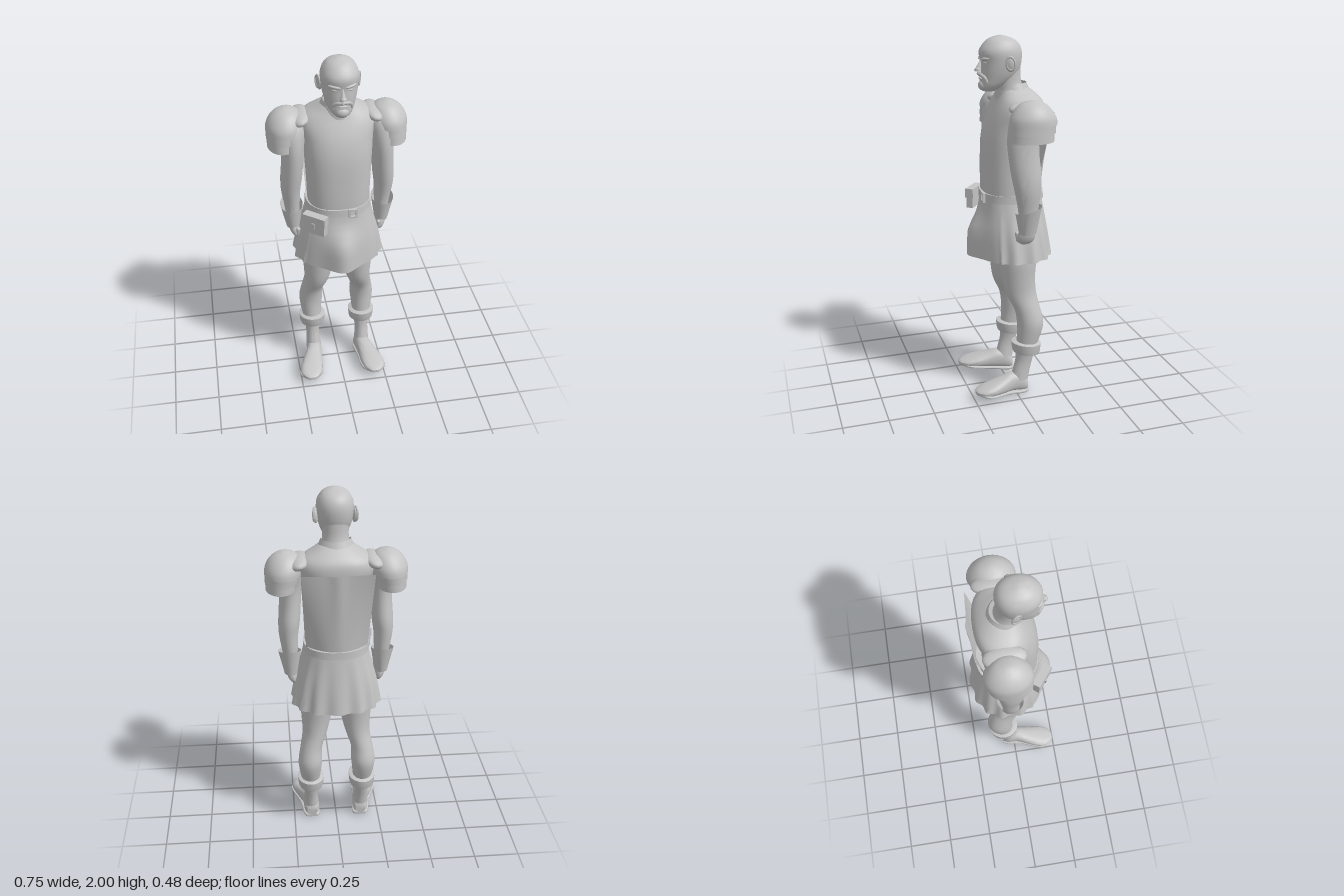
import * as THREE from 'three';
import { toCreasedNormals } from 'three/addons/utils/BufferGeometryUtils.js';

const grey = new THREE.MeshStandardMaterial({ color: 0xc4c4c4, side: THREE.DoubleSide });
grey.name = 'plain grey';

function add(parent, name, geo, pos = [0, 0, 0], rot = [0, 0, 0], scale = [1, 1, 1]) {
  const m = new THREE.Mesh(geo, grey);
  m.name = name;
  m.position.set(...pos);
  m.rotation.set(...rot);
  m.scale.set(...scale);
  parent.add(m);
  return m;
}

// Smooth the section list with Catmull-Rom steps
function smooth(s, steps) {
  const out = [];
  for (let i = 0; i < s.length - 1; i++) {
    const a = s[Math.max(i - 1, 0)], b = s[i], c = s[i + 1], d = s[Math.min(i + 2, s.length - 1)];
    for (let k = 0; k < steps; k++) {
      const t = k / steps;
      out.push(b.map((v, j) => v + 0.5 * t * (c[j] - a[j] +
        t * (2 * a[j] - 5 * v + 4 * c[j] - d[j] + t * (3 * (v - c[j]) + d[j] - a[j])))));
    }
  }
  out.push(s[s.length - 1]);
  return out;
}

// Skin over rounded cross-sections, each [y, centre x, half width, front z, back z]
function loft(sections, { n = 28, p = 2, steps = 3, caps = true, mod = null, crease = 0.8 } = {}) {
  const rows = steps > 1 ? smooth(sections, steps) : sections;
  const pos = [], idx = [], v = new THREE.Vector3();
  const pw = c => Math.sign(c) * Math.abs(c) ** (2 / p);
  for (const [y, cx, rx, zf, zb] of rows) {
    for (let j = 0; j < n; j++) {
      const a = (j / n) * Math.PI * 2;
      v.set(cx + rx * pw(Math.sin(a)), y, (zf + zb) / 2 + (zf - zb) / 2 * pw(Math.cos(a)));
      if (mod) mod(v, a);
      pos.push(v.x, v.y, v.z);
    }
  }
  for (let i = 0; i < rows.length - 1; i++) for (let j = 0; j < n; j++) {
    const a = i * n + j, b = i * n + (j + 1) % n;
    idx.push(a, b, b + n, a, b + n, a + n);
  }
  if (caps) for (const [row, up] of [[0, false], [rows.length - 1, true]]) {
    const [y, cx, , zf, zb] = rows[row], c = pos.length / 3;
    v.set(cx, y, (zf + zb) / 2);
    if (mod) mod(v, 0);
    pos.push(v.x, v.y, v.z);
    for (let j = 0; j < n; j++) {
      const a = row * n + j, b = row * n + (j + 1) % n;
      idx.push(c, up ? a : b, up ? b : a);
    }
  }
  const g = new THREE.BufferGeometry();
  g.setAttribute('position', new THREE.Float32BufferAttribute(pos, 3));
  g.setIndex(idx);
  return toCreasedNormals(g, crease);
}

const ball = () => new THREE.SphereGeometry(1, 18, 12);

function makeHead() {
  const h = new THREE.Group();
  h.name = 'head';
  add(h, 'skull', loft([
    [1.715, 0, 0.03, 0.138, 0.07], [1.74, 0, 0.056, 0.152, 0.03], [1.78, 0, 0.075, 0.15, -0.03],
    [1.82, 0, 0.087, 0.15, -0.06], [1.87, 0, 0.095, 0.148, -0.072], [1.92, 0, 0.096, 0.154, -0.072],
    [1.96, 0, 0.08, 0.13, -0.055], [1.985, 0, 0.054, 0.1, -0.02], [2.0, 0, 0.012, 0.055, 0.03]], { p: 2.15 }));
  add(h, 'neck', loft([[1.66, 0, 0.1, 0.06, -0.11], [1.72, 0, 0.075, 0.06, -0.085],
    [1.77, 0, 0.068, 0.065, -0.07], [1.84, 0, 0.07, 0.06, -0.066]]));
  // Face
  add(h, 'nose', new THREE.ConeGeometry(0.026, 0.07, 8), [0, 1.85, 0.152], [-0.2, 0, 0], [0.7, 1, 1]);
  add(h, 'noseTip', ball(), [0, 1.828, 0.164], [0, 0, 0], [0.016, 0.012, 0.016]);
  add(h, 'chinBeard', ball(), [0, 1.745, 0.135], [0, 0, 0], [0.035, 0.028, 0.026]);
  add(h, 'lowerLip', ball(), [0, 1.782, 0.148], [0, 0, 0], [0.022, 0.006, 0.011]);
  for (const s of [1, -1]) {
    const moustache = new THREE.CatmullRomCurve3([[0, 1.806, 0.16], [0.025, 1.803, 0.152],
      [0.045, 1.785, 0.134], [0.048, 1.765, 0.126]].map(q => new THREE.Vector3(q[0] * s, q[1], q[2])));
    add(h, 'moustache', new THREE.TubeGeometry(moustache, 10, 0.009, 7));
    add(h, 'brow', ball(), [s * 0.04, 1.885, 0.135], [0, s * 0.4, s * 0.12], [0.033, 0.009, 0.014]);
    add(h, 'eye', ball(), [s * 0.038, 1.865, 0.132], [0, s * 0.4, 0], [0.018, 0.008, 0.01]);
    add(h, 'ear', ball(), [s * 0.098, 1.86, 0.018], [0.15, -s * 0.35, 0], [0.011, 0.04, 0.025]);
    add(h, 'earRim', new THREE.TorusGeometry(0.026, 0.006, 6, 16), [s * 0.105, 1.865, 0.016],
      [0.15, Math.PI / 2 - s * 0.35, 0], [0.85, 1.3, 1]);
  }
  return h;
}

function makeTorso() {
  const t = new THREE.Group();
  t.name = 'torso';
  add(t, 'breastplate', loft([
    [1.1, 0, 0.165, 0.14, -0.15], [1.18, 0, 0.168, 0.145, -0.15], [1.3, 0, 0.172, 0.145, -0.14],
    [1.45, 0, 0.18, 0.14, -0.16], [1.55, 0, 0.188, 0.12, -0.18], [1.62, 0, 0.2, 0.092, -0.185],
    [1.665, 0, 0.18, 0.07, -0.175], [1.7, 0, 0.125, 0.055, -0.145], [1.73, 0, 0.08, 0.045, -0.105]], { p: 2.4, n: 36 }));
  add(t, 'collar', loft([[1.7, 0, 0.1, 0.07, -0.125], [1.755, 0, 0.078, 0.068, -0.1]], { steps: 1, caps: false,
    mod: v => { v.y -= Math.max(0, v.z + 0.02) * 0.5; } }));
  // Curved back plate: flat at the shoulders, wrapped round at the waist
  const plate = new THREE.PlaneGeometry(2, 1, 20, 8), p = plate.attributes.position;
  for (let i = 0; i < p.count; i++) {
    const u = p.getX(i), k = p.getY(i) + 0.5;
    const ridge = 0.012 * Math.exp(-u * u * 30);
    p.setXYZ(i, u * (0.165 + 0.024 * k), 1.165 + 0.45 * k,
      -0.18 - 0.027 * k - ridge * k + u * u * (0.085 - 0.075 * k));
  }
  plate.computeVertexNormals();
  add(t, 'backPlate', plate);
  // Belt with buckle
  add(t, 'belt', loft([[1.13, 0, 0.18, 0.156, -0.19], [1.172, 0, 0.178, 0.154, -0.188]], { steps: 1, p: 2.3, n: 36 }));
  for (const y of [-1, 1]) add(t, 'buckleBar', new THREE.BoxGeometry(0.044, 0.01, 0.014), [0.055, 1.15 + y * 0.022, 0.157]);
  for (const x of [-1, 1]) add(t, 'buckleBar', new THREE.BoxGeometry(0.01, 0.05, 0.014), [0.055 + x * 0.018, 1.15, 0.157]);
  // Pleated skirt with a fuller front panel
  add(t, 'skirt', loft([[0.81, 0, 0.246, 0.172, -0.226], [0.95, 0, 0.222, 0.168, -0.208],
    [1.07, 0, 0.19, 0.157, -0.19], [1.15, 0, 0.172, 0.148, -0.178]], { n: 112, p: 2.3, caps: false,
    mod: (v, a) => {
      const k = (1.15 - v.y) / 0.34, back = Math.cos(a) < 0.6 ? 1 : 0;
      const r = 1 + 0.035 * k * back * Math.cos(a * 14);
      v.x *= r;
      v.z *= r;
      if (v.z > 0) v.z += 0.062 * THREE.MathUtils.smoothstep(k, 0.15, 0.65) * Math.exp(-((v.x / 0.085) ** 2));
    } }));
  // Belt pouch
  const pouch = new THREE.Group();
  pouch.name = 'pouch';
  pouch.position.set(-0.147, 1.1, 0.152);
  pouch.rotation.y = -0.68;
  add(pouch, 'pouchBag', new THREE.BoxGeometry(0.126, 0.105, 0.038));
  add(pouch, 'pouchFlap', new THREE.BoxGeometry(0.136, 0.05, 0.046), [0, 0.032, 0]);
  add(pouch, 'pouchClasp', new THREE.BoxGeometry(0.014, 0.035, 0.008), [0, 0, 0.025]);
  t.add(pouch);
  return t;
}

function makeArm() {
  const a = new THREE.Group();
  a.name = 'arm';
  add(a, 'armBody', loft([[1.0, 0.248, 0.03, 0.01, -0.075], [1.12, 0.25, 0.042, 0.02, -0.09],
    [1.22, 0.255, 0.052, 0.04, -0.1], [1.3, 0.25, 0.058, 0.056, -0.105], [1.4, 0.243, 0.058, 0.07, -0.095],
    [1.5, 0.238, 0.06, 0.076, -0.095], [1.6, 0.235, 0.07, 0.06, -0.12], [1.66, 0.225, 0.045, 0.02, -0.1]]));
  add(a, 'cuff', loft([[0.985, 0.248, 0.036, 0.014, -0.08], [1.122, 0.253, 0.062, 0.035, -0.108]], { steps: 1, caps: false,
    mod: v => { if (v.y > 1.1) v.y -= (v.z + 0.035) * 0.25; } }));
  add(a, 'hand', loft([[0.925, 0.232, 0.012, 0.0, -0.05], [0.945, 0.236, 0.024, 0.02, -0.072],
    [0.98, 0.243, 0.029, 0.02, -0.076], [1.02, 0.248, 0.027, 0.005, -0.065]]));
  add(a, 'thumb', new THREE.CapsuleGeometry(0.012, 0.04, 4, 8), [0.225, 0.965, 0.015], [0.2, 0, 0]);
  // Shoulder guard: dome over two overlapping bands
  const g = new THREE.Group();
  g.name = 'shoulderGuard';
  add(g, 'dome', loft([[1.58, 0.276, 0.097, 0.076, -0.176], [1.615, 0.272, 0.097, 0.07, -0.17],
    [1.655, 0.266, 0.083, 0.045, -0.145], [1.685, 0.262, 0.054, 0.01, -0.11], [1.7, 0.265, 0.012, -0.035, -0.065]]));
  add(g, 'upperBand', loft([[1.535, 0.285, 0.087, 0.074, -0.165], [1.59, 0.28, 0.09, 0.07, -0.168]], { steps: 1, caps: false }));
  add(g, 'lowerBand', loft([[1.492, 0.29, 0.079, 0.073, -0.155], [1.55, 0.287, 0.081, 0.068, -0.155]], { steps: 1, caps: false }));
  add(g, 'shoulderStrap', ball(), [0.195, 1.645, -0.055], [0, 0, -0.25], [0.06, 0.035, 0.11]);
  a.add(g);
  return a;
}

function makeLeg() {
  const l = new THREE.Group();
  l.name = 'leg';
  add(l, 'legBody', loft([[0.08, 0.148, 0.045, 0.03, -0.075], [0.14, 0.15, 0.04, 0.015, -0.085],
    [0.2, 0.15, 0.04, 0.0, -0.1], [0.28, 0.15, 0.052, -0.005, -0.12], [0.36, 0.153, 0.062, -0.01, -0.148],
    [0.43, 0.152, 0.068, -0.01, -0.16], [0.51, 0.145, 0.062, 0.005, -0.142], [0.6, 0.122, 0.07, 0.048, -0.125],
    [0.7, 0.112, 0.084, 0.066, -0.122], [0.82, 0.105, 0.096, 0.078, -0.132], [1.05, 0.09, 0.09, 0.09, -0.14]]));
  add(l, 'bootCuff', loft([[0.245, 0.149, 0.069, 0.012, -0.138], [0.26, 0.149, 0.073, 0.018, -0.143],
    [0.305, 0.149, 0.077, 0.022, -0.148], [0.31, 0.149, 0.064, 0.008, -0.138]], { steps: 1, mod: v => { v.y += (v.z + 0.06) * 0.12; } }));
  // Foot runs heel to toe, its sections turned to stand across z
  const foot = loft([[-0.068, 0.145, 0.03, -0.01, -0.07], [-0.04, 0.146, 0.044, -0.006, -0.11],
    [0.02, 0.152, 0.045, -0.014, -0.125], [0.08, 0.168, 0.055, -0.02, -0.11], [0.15, 0.184, 0.066, -0.028, -0.092],
    [0.2, 0.19, 0.06, -0.036, -0.078], [0.235, 0.191, 0.035, -0.044, -0.066], [0.245, 0.191, 0.015, -0.048, -0.06]], { p: 2.5 });
  foot.rotateX(Math.PI / 2);
  add(l, 'foot', foot);
  const sole = loft([[-0.07, 0.145, 0.032, 0, -0.016], [-0.04, 0.146, 0.048, 0, -0.018], [0.05, 0.16, 0.05, -0.012, -0.03],
    [0.15, 0.184, 0.07, -0.026, -0.042], [0.2, 0.19, 0.063, -0.034, -0.05], [0.245, 0.191, 0.02, -0.044, -0.056]], { p: 5 });
  sole.rotateX(Math.PI / 2);
  add(l, 'sole', sole);
  return l;
}

export function createModel() {
  const man = new THREE.Group();
  man.name = 'armouredMan';
  man.add(makeHead(), makeTorso());
  for (const [side, s] of [['left', 1], ['right', -1]]) {
    for (const [part, make] of [['Arm', makeArm], ['Leg', makeLeg]]) {
      const limb = make();
      limb.name = side + part;
      limb.scale.x = s;
      man.add(limb);
    }
  }
  return man;
}
